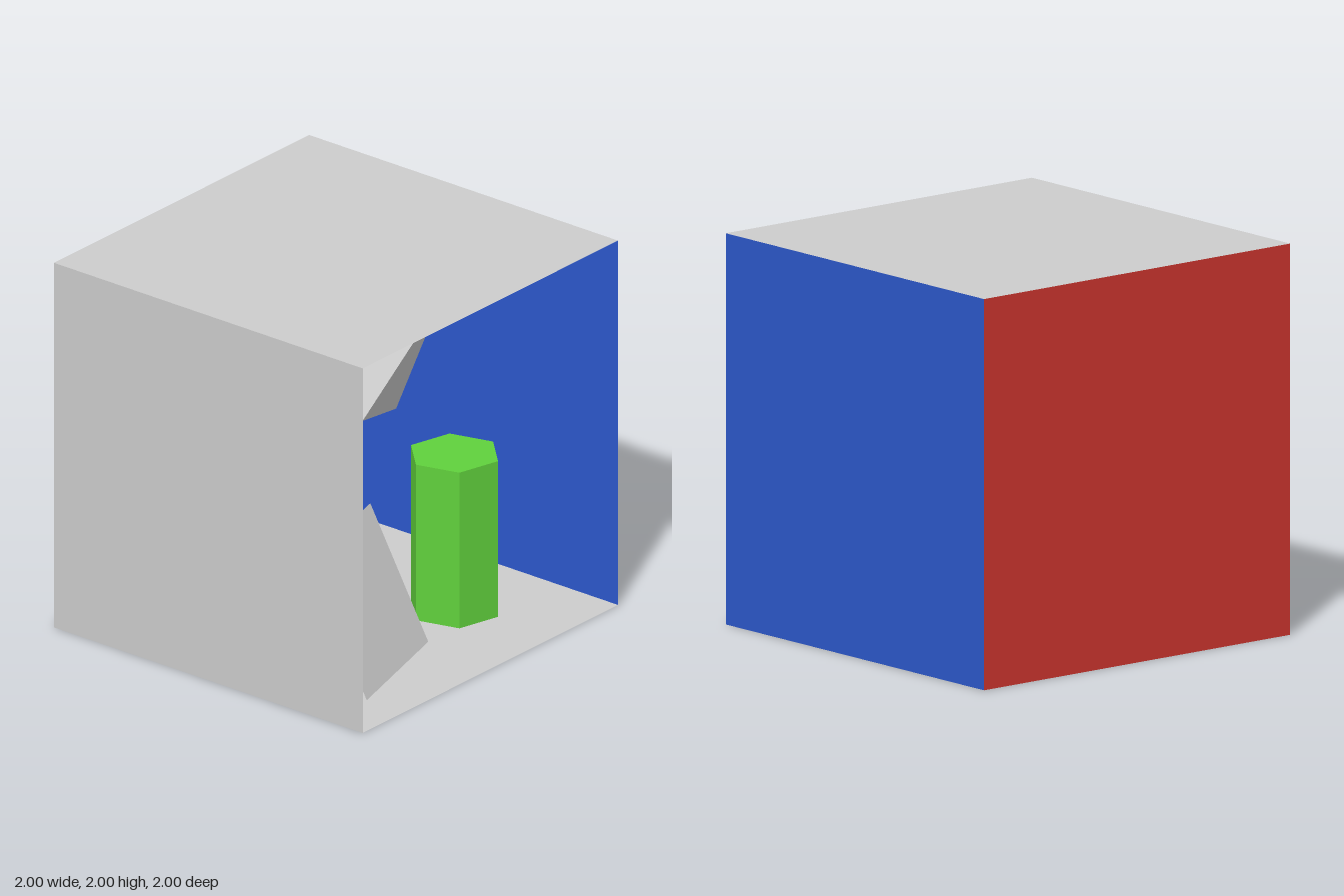
import * as THREE from 'three';

const paint = (name, color, side = THREE.FrontSide) => {
  const m = new THREE.MeshStandardMaterial({ color, side });
  m.name = name;
  return m;
};

export function createModel() {
  const grey = paint('grey', 0xcccccc, THREE.DoubleSide);
  const red = paint('red', 0xcc352e, THREE.DoubleSide);
  const blue = paint('blue', 0x2d58cc, THREE.DoubleSide);
  const green = paint('green', 0x60d03c);
  const teal = paint('paleTeal', 0xa9c8bb);
  green.flatShading = true;

  const room = new THREE.Group();
  room.name = 'openRoom';
  const add = (name, geometry, material, x, y, z) => {
    const mesh = new THREE.Mesh(geometry, material);
    mesh.name = name;
    mesh.position.set(x, y, z);
    room.add(mesh);
    return mesh;
  };
  // Turns a mesh so its local x and y follow two given directions
  const orient = (mesh, xDir, yDir) => {
    const x = new THREE.Vector3(...xDir).normalize();
    const z = x.clone().cross(new THREE.Vector3(...yDir)).normalize();
    const y = z.clone().cross(x);
    mesh.quaternion.setFromRotationMatrix(new THREE.Matrix4().makeBasis(x, y, z));
  };

  // Room shell, open at the front
  const wall = new THREE.PlaneGeometry(2, 2);
  add('floor', wall, grey, 0, 0.0015, 0).rotation.x = -Math.PI / 2;
  add('ceiling', wall, grey, 0, 2, 0).rotation.x = Math.PI / 2;
  add('backWall', wall, red, 0, 1, -1);
  add('rightWall', wall, grey, -1, 1, 0).rotation.y = Math.PI / 2;
  add('leftWall', wall, blue, 1, 1, 0).rotation.y = -Math.PI / 2;

  // Large block near the back wall, slightly turned and leaning back
  add('backBlock', new THREE.BoxGeometry(1.31, 1.49, 0.4), teal, -0.107, 0.833, -0.683)
    .rotation.set(-0.02, 0.087, 0.007);

  // Square panel leaning back at the front
  const panel = add('leaningPanel', new THREE.PlaneGeometry(0.77, 0.77), grey, -0.378, 0.364, 0.523);
  orient(panel, [0.74, 0, -0.213], [-0.095, 0.7, -0.3]);

  // Six-sided pillar
  add('hexagonalPillar', new THREE.CylinderGeometry(0.238, 0.238, 0.855, 6, 1, false, 0.27),
    green, 0.445, 0.4275, 0.4);

  // Floating square pyramid with its tip towards the upper front
  const tip = new THREE.Vector3(0.24, 0.435, 0.37);
  const corner = new THREE.Vector3(-0.2025, -0.095, 0.238);
  const side = tip.clone().cross(corner);
  const pyramidGeometry = new THREE.ConeGeometry(0.327, 0.62, 4).toNonIndexed();
  pyramidGeometry.computeVertexNormals();
  const pyramid = add('floatingPyramid', pyramidGeometry, grey, 0.4225, 1.3725, 0.034);
  orient(pyramid, side.toArray(), tip.toArray());

  return room;
}
